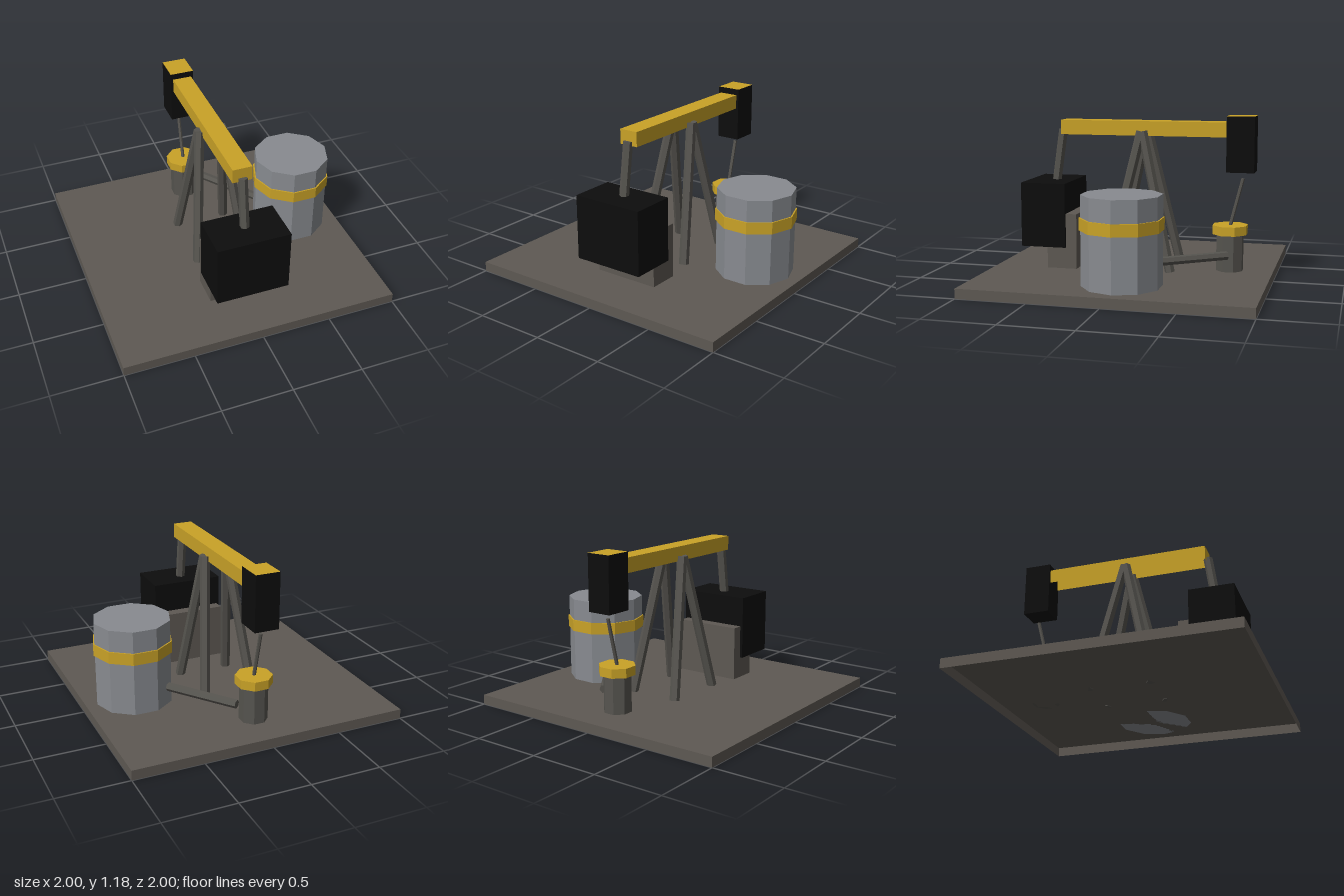
import * as THREE from 'three';

const mat = (name, color, side = THREE.FrontSide) => {
  const m = new THREE.MeshStandardMaterial({ color, side });
  m.name = name;
  return m;
};

export function createModel() {
  const model = new THREE.Group();
  model.name = 'oilPump';

  const concrete = mat('concrete', 0x5e5953, THREE.DoubleSide);
  const steel = mat('darkSteel', 0x56544f);
  const yellow = mat('yellowPaint', 0xc9a227, THREE.DoubleSide);
  const black = mat('blackPaint', 0x0d0d0d);
  const grey = mat('tankGrey', 0x888b90);

  const add = (name, geometry, material) => {
    const mesh = new THREE.Mesh(geometry, material);
    mesh.name = name;
    model.add(mesh);
    return mesh;
  };

  // Box given by its limits on each axis; openBottom drops the lower face
  const box = (name, material, [x0, x1], [y0, y1], [z0, z1], openBottom = false) => {
    const g = new THREE.BoxGeometry(x1 - x0, y1 - y0, z1 - z0);
    g.translate((x0 + x1) / 2, (y0 + y1) / 2, (z0 + z1) / 2);
    if (openBottom) {
      const index = Array.from(g.index.array);
      index.splice(18, 6);
      g.setIndex(index);
      g.clearGroups();
    }
    return add(name, g, material);
  };

  // Faceted cylinder geometry with flat normals
  const prism = (radius, height, sides, turn = 0) => {
    const g = new THREE.CylinderGeometry(radius, radius, height, sides, 1, false, turn).toNonIndexed();
    g.computeVertexNormals();
    return g;
  };

  const drum = (name, material, radius, sides, turn, x, z, y0, y1) =>
    add(name, prism(radius, y1 - y0, sides, turn), material).position.set(x, (y0 + y1) / 2, z);

  // Straight hexagonal bar between two points
  const bar = (name, from, to, radius) => {
    const a = new THREE.Vector3(...from);
    const b = new THREE.Vector3(...to);
    const dir = b.clone().sub(a);
    const mesh = add(name, prism(radius, dir.length(), 6), steel);
    mesh.position.copy(a).add(b).multiplyScalar(0.5);
    mesh.quaternion.setFromUnitVectors(new THREE.Vector3(0, 1, 0), dir.normalize());
  };

  // Ground slab, hollow underneath
  box('base', concrete, [-1, 1], [0, 0.07], [-1, 1], true);

  // Motor block and counterweight
  box('motorBlock', concrete, [-0.245, 0.245], [0.07, 0.47], [0.39, 0.61]);
  box('counterweight', black, [-0.265, 0.265], [0.225, 0.69], [0.47, 0.8]);
  bar('connectingRod', [0, 0.6, 0.625], [0, 1.06, 0.56], 0.034);

  // Walking beam and black head with a yellow top
  box('walkingBeam', yellow, [-0.07, 0.07], [1.03, 1.135], [-0.67, 0.555], true);
  box('beamHead', [black, black, yellow, black, black, black],
    [-0.088, 0.088], [0.785, 1.18], [-0.862, -0.665]);

  // Four splayed legs
  for (const sx of [-1, 1]) {
    for (const sz of [-1, 1]) {
      bar('leg', [sx * 0.187, 0.07, -0.055 + sz * 0.232], [sx * 0.085, 1.062, -0.055 + sz * 0.005], 0.036);
    }
  }

  // Wellhead, its flange and the pump rod
  drum('wellhead', steel, 0.1, 8, Math.PI / 8, 0, -0.687, 0.07, 0.335);
  drum('wellheadFlange', yellow, 0.13, 8, Math.PI / 8, 0, -0.687, 0.335, 0.4);
  bar('pumpRod', [0, 0.39, -0.687], [0, 0.735, -0.775], 0.013);

  // Storage tank with band, fed by a pipe
  drum('tank', grey, 0.277, 10, Math.PI / 2, 0.642, -0.055, 0.07, 0.69);
  drum('tankBand', yellow, 0.287, 10, Math.PI / 2, 0.642, -0.055, 0.45, 0.535);
  bar('pipe', [0.125, 0.2, -0.685], [0.47, 0.2, -0.215], 0.031);

  return model;
}
